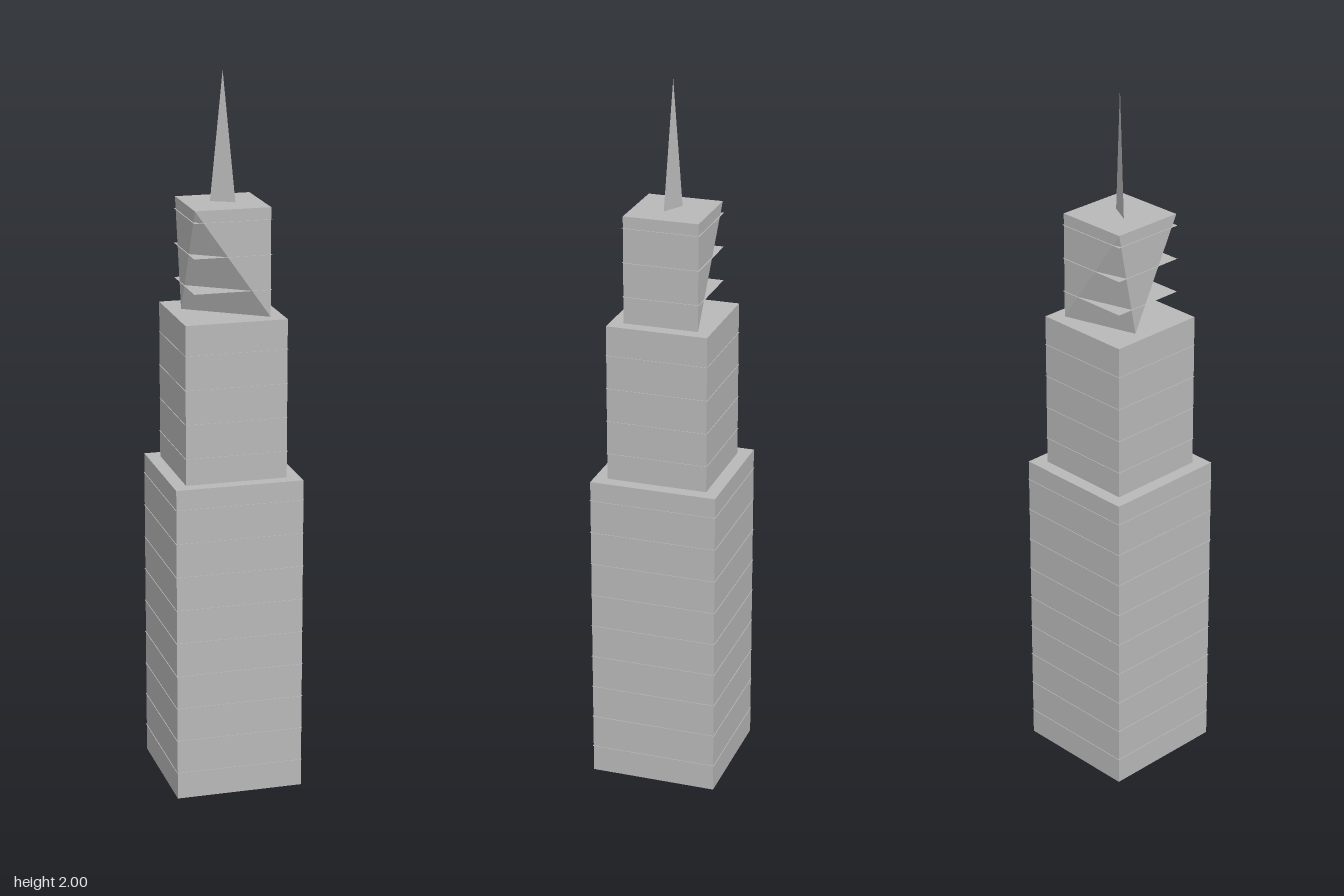
import * as THREE from 'three';

const stone = new THREE.MeshStandardMaterial({ name: 'paleGrey', color: 0xb8b8b8, side: THREE.DoubleSide });

function addMesh(parent, name, geometry, y = 0) {
  const mesh = new THREE.Mesh(geometry, stone);
  mesh.name = name;
  mesh.position.y = y;
  parent.add(mesh);
  return mesh;
}

function flatGeometry(points, index) {
  const g = new THREE.BufferGeometry();
  g.setAttribute('position', new THREE.Float32BufferAttribute(points.flat(), 3));
  g.setIndex(index);
  const flat = g.toNonIndexed();
  flat.computeVertexNormals();
  return flat;
}

// Paper-thin square ledges that stand just proud of a tier's walls
function addLedges(parent, name, half, firstY, step, count) {
  for (let i = 0; i < count; i++) {
    const ledge = new THREE.PlaneGeometry(half * 2, half * 2).rotateX(-Math.PI / 2);
    addMesh(parent, name, ledge, firstY + i * step);
  }
}

export function createModel() {
  const model = new THREE.Group();
  model.name = 'tower';

  // Lower and middle tiers
  const tiers = [
    { name: 'lowerTier', half: 0.179, y0: 0, y1: 0.9 },
    { name: 'middleTier', half: 0.142, y0: 0.9, y1: 1.345 },
  ];
  for (const { name, half, y0, y1 } of tiers) {
    addMesh(model, name, new THREE.BoxGeometry(half * 2, y1 - y0, half * 2), (y0 + y1) / 2);
  }

  // Upper tier: the two bottom corners on the -x side meet in one point
  const h = 0.105, lo = 1.345, hi = 1.645;
  addMesh(model, 'upperTier', flatGeometry([
    [-h, hi, h], [h, hi, h], [h, hi, -h], [-h, hi, -h],
    [h, lo, h], [h, lo, -h], [-h, lo, -0.045],
  ], [
    0, 1, 2, 0, 2, 3, // roof
    0, 4, 1, 0, 6, 4, // front
    1, 4, 5, 1, 5, 2, // +x side
    2, 5, 3, 3, 5, 6, // back
    3, 6, 0, 6, 5, 4, // -x side and underside
  ]));

  // Floor ledges
  addLedges(model, 'lowerLedge', 0.181, 0.077, 0.0959, 9);
  addLedges(model, 'middleLedge', 0.144, 0.975, 0.0955, 4);
  addLedges(model, 'upperLedge', 0.108, 1.42, 0.096, 3);

  // Flat triangular spire, set at an angle
  addMesh(model, 'spire', flatGeometry([
    [-0.031, hi, -0.016], [0.031, hi, 0.016], [0, 2, 0],
  ], [0, 1, 2]));

  return model;
}
